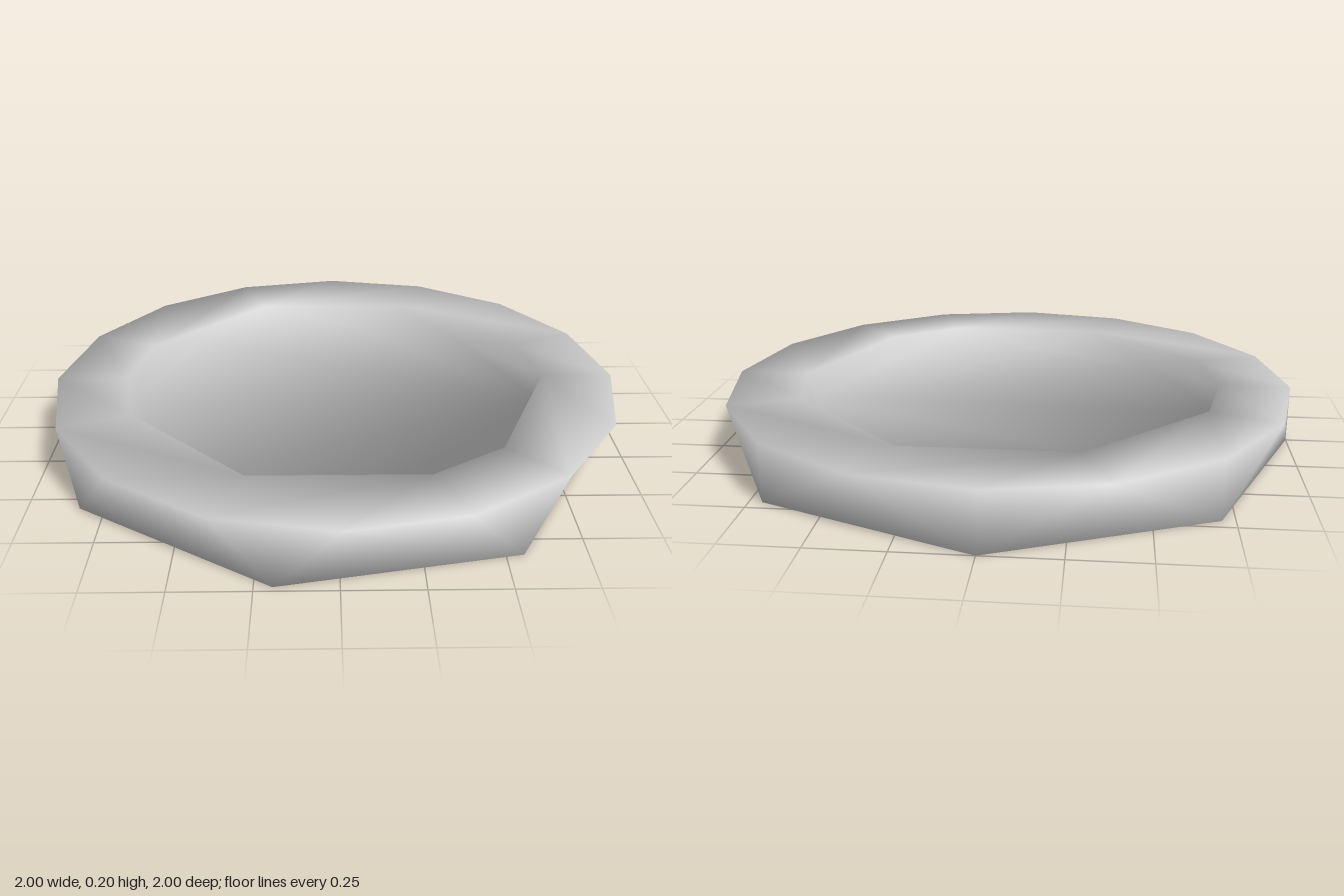
import * as THREE from 'three';

// Rings along the dish profile, from the underside over the rim to the floor.
// steps: corner angles in sixteenths of a turn; nr, ny: radial and vertical normal.
const RINGS = [
  { r: 1.0, y: 0.0, nr: 0.89, ny: -0.455, steps: [0, 2.5, 4.5, 6.5, 8, 10, 12, 14] },
  { r: 1.0, y: 0.2, nr: 0.707, ny: 0.707, steps: Array.from({ length: 16 }, (_, i) => i) },
  { r: 0.75, y: 0.2, nr: -0.707, ny: 0.707, steps: [0, 2, 3, 5, 7, 8, 9, 11, 13, 15] },
  { r: 0.75, y: 0.1, nr: -0.89, ny: 0.455, steps: [0, 2, 4, 6, 8, 10, 12, 14] },
];

// Geometry of one or two rings with smooth normals
function ringGeometry(rings, index) {
  const pos = [], nor = [];
  for (const { r, y, nr, ny, steps } of rings) {
    for (const s of steps) {
      const a = (s * Math.PI) / 8;
      pos.push(r * Math.cos(a), y, r * Math.sin(a));
      nor.push(nr * Math.cos(a), ny, nr * Math.sin(a));
    }
  }
  const g = new THREE.BufferGeometry();
  g.setAttribute('position', new THREE.Float32BufferAttribute(pos, 3));
  g.setAttribute('normal', new THREE.Float32BufferAttribute(nor, 3));
  g.setIndex(index);
  return g;
}

// Zip two rings with different corner counts into a closed band
function band(a, b) {
  const n = a.steps.length, m = b.steps.length, index = [];
  const angle = (steps, k) => (k < steps.length ? steps[k] : 16);
  let i = 0, j = 0;
  while (i < n || j < m) {
    const A = i % n, B = n + (j % m);
    const advanceA = j >= m || (i < n && angle(a.steps, i + 1) <= angle(b.steps, j + 1));
    if (advanceA) index.push(A, B, ++i % n);
    else index.push(A, B, n + (++j % m));
  }
  return ringGeometry([a, b], index);
}

// Flat polygon closing a ring
function cap(ring, up) {
  const index = [];
  for (let i = 1; i < ring.steps.length - 1; i++) {
    if (up) index.push(0, i + 1, i);
    else index.push(0, i, i + 1);
  }
  return ringGeometry([ring], index);
}

export function createModel() {
  const group = new THREE.Group();
  group.name = 'dish';
  const grey = new THREE.MeshStandardMaterial({ color: 0xcccccc });
  grey.name = 'light grey';

  const add = (name, geometry) => {
    const mesh = new THREE.Mesh(geometry, grey);
    mesh.name = name;
    group.add(mesh);
  };

  const [base, outer, inner, floor] = RINGS;
  add('underside', cap(base, false));
  add('outerWall', band(base, outer));
  add('rim', band(outer, inner));
  add('innerWall', band(inner, floor));
  add('floor', cap(floor, true));
  return group;
}
